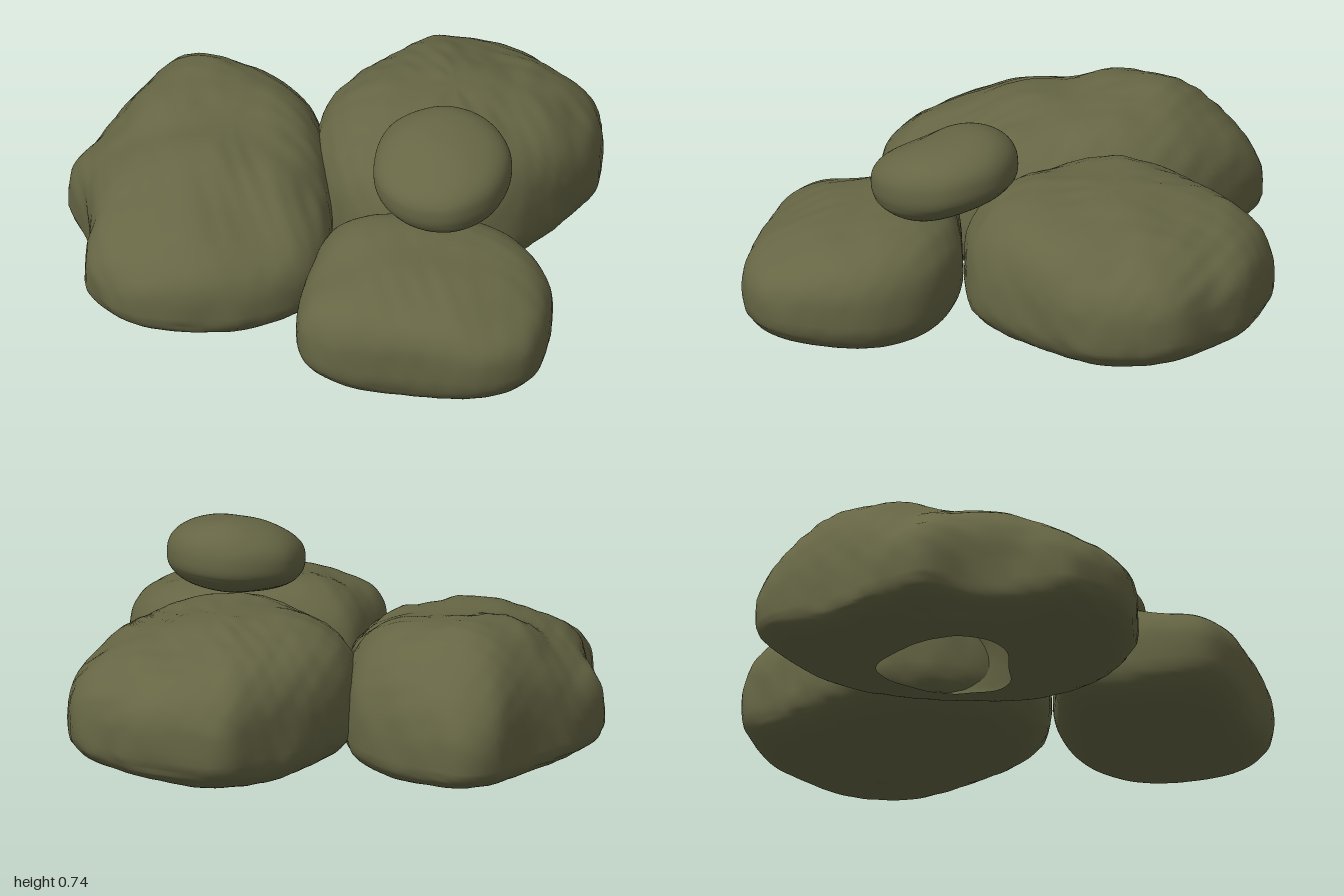
import * as THREE from 'three';
import { mergeVertices } from 'three/addons/utils/BufferGeometryUtils.js';

const SEG = 112, RINGS = 56;

// Height at (x, z), blended from a few [x, z, y] samples
function heightAt(samples, x, z) {
  let sum = 0, total = 0;
  for (const [px, pz, y] of samples) {
    const w = 1 / ((x - px) ** 2 + (z - pz) ** 2 + 0.012) ** 1.5;
    sum += w * y;
    total += w;
  }
  return sum / total;
}

// Weathered lumps: broad waves, soft ridges and fine pitting
function lumps(x, y, z, rough) {
  const broad = Math.sin(7 * x + 3 * y + 2 * z + 1) * Math.sin(6 * z - 4 * y + 0.6)
    + 0.6 * Math.sin(11 * z + 5 * x) * Math.sin(9 * y - 8 * x + 2);
  const ridge = 0.6 - Math.abs(Math.sin(6 * x - 5 * z + 4 * y + 0.8 * Math.sin(5 * z)));
  const fine = Math.sin(31 * x + 9 * Math.sin(7 * z)) * Math.sin(29 * z + 23 * y)
    + 0.6 * Math.sin(53 * y + 37 * x) * Math.sin(47 * z - 21 * x);
  return 0.006 * broad + rough * (0.007 * ridge + 0.003 * fine);
}

// Average of the neighbouring outline points, for softer corners
function soften(plan, reach) {
  return plan.map((_, j) => {
    const v = new THREE.Vector3();
    for (let k = -reach; k <= reach; k++) v.add(plan[(j + k + SEG) % SEG]);
    return v.divideScalar(2 * reach + 1);
  });
}

// A stone: plan outline swept through rounded rings between its top and underside
function stone({ outline, centre, waist, top, bottom, power = 0.64, underPower = 0.55, rough = 1, hole = 0 }) {
  const curve = new THREE.CatmullRomCurve3(
    outline.map(([x, z]) => new THREE.Vector3(x, 0, z)), true, 'centripetal');
  const plan = curve.getSpacedPoints(SEG).slice(0, SEG);
  const soft = soften(plan, 11);
  const [cx, cz] = centre;
  const start = hole ? -Math.acos(hole ** (1 / underPower)) : -Math.PI / 2;
  const pos = [], index = [];

  for (let i = 0; i <= RINGS; i++) {
    const a = start + (Math.PI / 2 - start) * i / RINGS;
    const e = a < 0 ? underPower : power;
    const s = Math.max(0, Math.cos(a)) ** e;
    const h = Math.abs(Math.sin(a)) ** e;
    for (let j = 0; j < SEG; j++) {
      // Corners soften away from the waist
      const dx = THREE.MathUtils.lerp(plan[j].x, soft[j].x, h * h) - cx;
      const dz = THREE.MathUtils.lerp(plan[j].z, soft[j].z, h * h) - cz;
      // The open edge underneath is stretched on one diagonal and a little ragged
      const fade = hole ? Math.max(0, 1 - i / 14) ** 2 : 0;
      const diagonal = (dx - dz) ** 2 / (2 * (dx * dx + dz * dz));
      const rag = 1 + fade * (0.45 * diagonal + 0.1 * Math.sin(j * 6 * Math.PI / SEG + 1));
      const r = s < 1e-4 ? 0 : s * rag;
      const x = cx + dx * r, z = cz + dz * r;
      const limit = heightAt(a < 0 ? bottom : top, x, z);
      pos.push(x, waist + (limit - waist) * h, z);
      if (i < RINGS) {
        const k = (j + 1) % SEG, p = i * SEG, q = p + SEG;
        index.push(p + j, q + j, q + k, p + j, q + k, p + k);
      }
    }
  }
  let geo = new THREE.BufferGeometry();
  geo.setAttribute('position', new THREE.Float32BufferAttribute(pos, 3));
  geo.setIndex(index);
  geo = mergeVertices(geo, 1e-5);
  geo.computeVertexNormals();

  const p = geo.attributes.position, n = geo.attributes.normal;
  for (let i = 0; i < p.count; i++) {
    const x = p.getX(i), y = p.getY(i), z = p.getZ(i);
    const d = lumps(x, y, z, rough) * (n.getY(i) < -0.5 ? 0.5 : 1);
    p.setXYZ(i, x + n.getX(i) * d, Math.max(0, y + n.getY(i) * d), z + n.getZ(i) * d);
  }
  geo.computeVertexNormals();
  return geo;
}

const stones = {
  backBoulder: {
    outline: [[-.44, -.66], [-.42, -.76], [-.33, -.84], [-.13, -.935], [.02, -.92], [.14, -.925], [.25, -.87],
      [.38, -.71], [.42, -.55], [.44, -.4], [.43, -.18], [.22, .06], [.03, .125], [-.24, .03], [-.38, -.13],
      [-.43, -.34]],
    centre: [0, -.4],
    waist: .23,
    top: [[-.22, -.2, .585], [-.36, -.2, .55], [.1, -.15, .56], [.3, -.2, .55], [0, -.45, .56], [-.3, -.5, .55],
      [.25, -.5, .53], [.32, -.7, .46], [0, -.75, .51], [0, -.9, .45], [0, .08, .52]],
    bottom: [[0, 0, .015], [0, -.4, .015], [0, -.8, .06], [.4, -.4, .05], [-.4, -.4, .04]],
    power: .58,
  },
  leftBoulder: {
    outline: [[-.95, -.16], [-.8, -.2], [-.5, -.2], [-.36, -.14], [-.1, .1], [.09, .33], [.115, .49],
      [.05, .67], [-.1, .85], [-.28, .94], [-.48, .91], [-.61, .75], [-.72, .66], [-.88, .59],
      [-.91, .46], [-.93, .19], [-1, -.04]],
    centre: [-.43, .23],
    waist: .17,
    top: [[-.75, .1, .61], [-.72, .3, .58], [-.82, -.12, .51], [-.45, 0, .54], [-.4, .4, .54], [-.18, .3, .48],
      [-.03, .25, .4], [-.05, .5, .41], [-.3, .7, .46], [-.3, .88, .39], [-.65, .55, .5], [-.87, .5, .45]],
    bottom: [[-.2, .5, 0], [-.5, .3, .015], [-.85, .1, .035], [-.3, .85, .005]],
    underPower: .52,
    hole: .38,
  },
  rightBoulder: {
    outline: [[.075, .32], [.09, .25], [.17, .16], [.35, -.02], [.59, -.11], [.78, -.06], [.91, .09], [.99, .27],
      [.94, .43], [.73, .57], [.49, .71], [.35, .72], [.22, .59], [.14, .46]],
    centre: [.52, .28],
    waist: .2,
    top: [[.2, .3, .5], [.35, .2, .48], [.5, .1, .46], [.5, .35, .44], [.75, .2, .42], [.9, .25, .36],
      [.35, .58, .41], [.65, .5, .39], [.6, -.05, .46]],
    bottom: [[.5, .3, 0], [.85, .3, .025], [.15, .3, .025], [.6, 0, .015]],
    rough: .5,
  },
  topPebble: {
    outline: [[.11, .03], [.18, -.13], [.35, -.2], [.52, -.14], [.61, .04], [.56, .2], [.4, .27], [.22, .22]],
    centre: [.36, .03],
    waist: .59,
    top: [[.28, -.07, .755], [.3, .05, .735], [.38, -.03, .725], [.5, 0, .72], [.35, .2, .66], [.15, 0, .72]],
    bottom: [[.4, .15, .44], [.5, .05, .435], [.35, -.02, .46], [.2, 0, .49], [.35, -.15, .48]],
    power: .78,
    underPower: .76,
    rough: 0,
  },
};

export function createModel() {
  const group = new THREE.Group();
  group.name = 'rockPile';
  const mossyStone = new THREE.MeshStandardMaterial({ color: 0x666645, side: THREE.DoubleSide });
  mossyStone.name = 'mossyStone';

  for (const [name, spec] of Object.entries(stones)) {
    const geo = stone(spec);
    // Tip the pebble gently: its front end hangs lower than its back
    if (name === 'topPebble') {
      const p = geo.attributes.position;
      for (let i = 0; i < p.count; i++) p.setY(i, p.getY(i) - 0.12 * (p.getZ(i) - 0.03) - 0.04 * (p.getX(i) - 0.36));
      geo.computeVertexNormals();
    }
    const mesh = new THREE.Mesh(geo, mossyStone);
    mesh.name = name;
    group.add(mesh);
  }
  return group;
}
